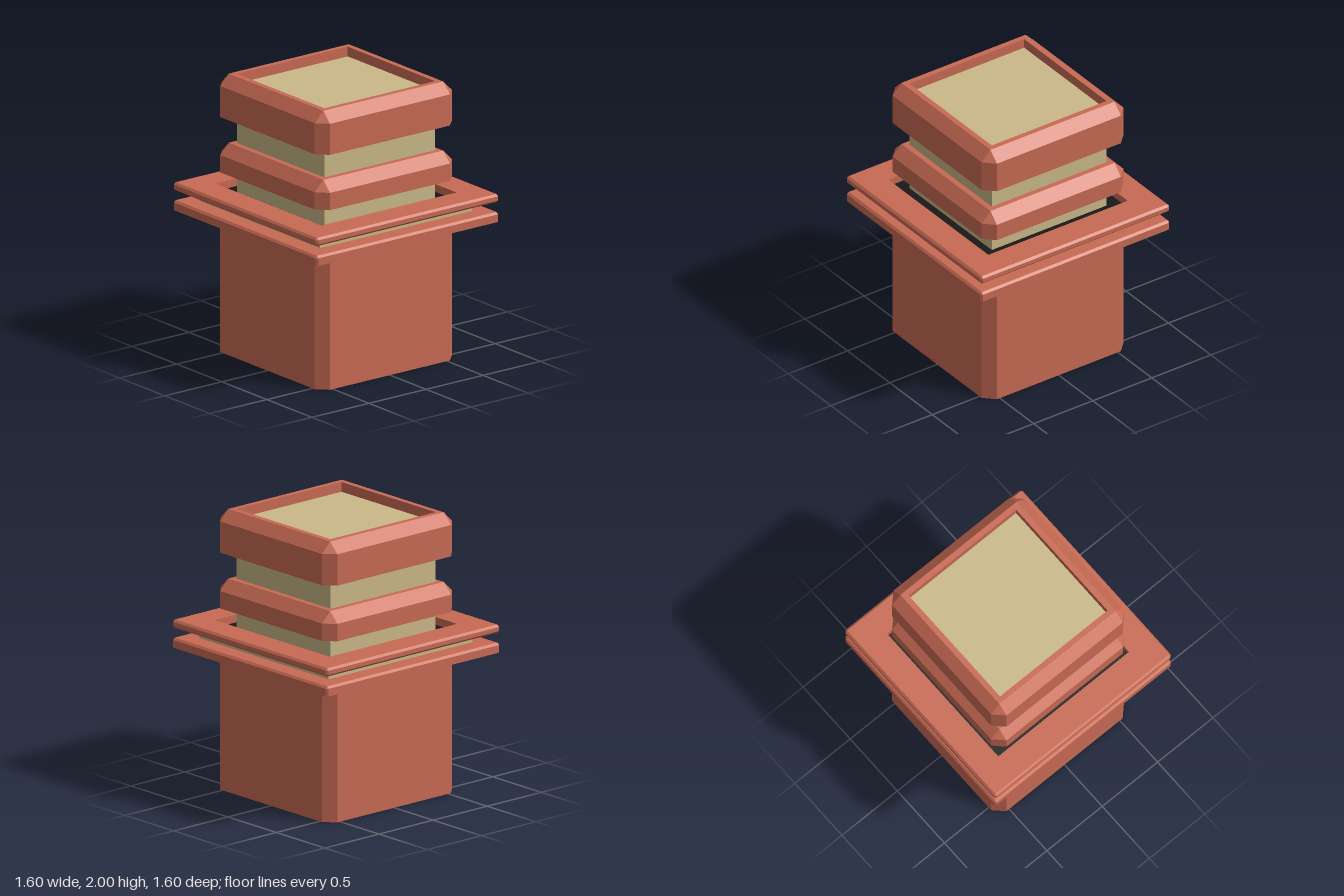
import * as THREE from 'three';

const brick = new THREE.MeshStandardMaterial({ color: 0xc86a53, flatShading: true });
const cream = new THREE.MeshStandardMaterial({ color: 0xcab888, flatShading: true });
const dark = new THREE.MeshStandardMaterial({ color: 0x181818, flatShading: true });

// Square loop with cut corners: half width h, corner cut c, height y
function loop([h, c, y]) {
  const k = h - c;
  return [[h, k], [h, -k], [k, -h], [-k, -h], [-h, -k], [-h, k], [-k, h], [k, h]]
    .map(([x, z]) => new THREE.Vector3(x, y, z));
}

// Skin a list of loops, running up the outside and down the inside
function loft(name, profile, material) {
  const loops = profile.map(loop);
  const pos = [];
  const tri = (a, b, c) => {
    const area = b.clone().sub(a).cross(c.clone().sub(a)).length();
    if (area > 1e-9) pos.push(...a.toArray(), ...b.toArray(), ...c.toArray());
  };
  for (let i = 0; i + 1 < loops.length; i++) {
    for (let j = 0; j < 8; j++) {
      const n = (j + 1) % 8;
      const [a, b, c, d] = [loops[i][j], loops[i][n], loops[i + 1][n], loops[i + 1][j]];
      tri(a, b, c);
      tri(a, c, d);
    }
  }
  const geo = new THREE.BufferGeometry();
  geo.setAttribute('position', new THREE.Float32BufferAttribute(pos, 3));
  geo.computeVertexNormals();
  const mesh = new THREE.Mesh(geo, material);
  mesh.name = name;
  return mesh;
}

// Plain square block between two heights
function block(name, half, y0, y1, material) {
  const mesh = new THREE.Mesh(new THREE.BoxGeometry(half * 2, y1 - y0, half * 2), material);
  mesh.position.y = (y0 + y1) / 2;
  mesh.name = name;
  return mesh;
}

// Collar with bevelled upper edge and a square opening
function collar(name, y0, y1) {
  const b = 0.075, inner = 0.485;
  return loft(name, [
    [inner, 0, y0], [0.6, b, y0], [0.6, b, y1 - b], [0.6 - b, 0, y1],
    [inner, 0, y1], [inner, 0, y0],
  ], brick);
}

export function createModel() {
  const group = new THREE.Group();
  const e = 0.015;

  // Base with cut vertical corners
  group.add(loft('base', [[0, 0, 0], [0.6, 0.075, 0], [0.6, 0.075, 1], [0, 0, 1]], brick));

  // Lower ledge, bevelled on top
  group.add(loft('lowerLedge', [
    [0, 0, 1], [0.8, e, 1], [0.8, e, 1.055], [0.8 - e, 0, 1.07], [0, 0, 1.07],
  ], brick));

  // Pale layer between the ledges
  group.add(block('ledgeSpacer', 0.665, 1.07, 1.14, cream));

  // Upper ledge, bevelled both ways, with a square opening
  group.add(loft('upperLedge', [
    [0.59, 0, 1.14], [0.8 - e, 0, 1.14], [0.8, e, 1.155], [0.8, e, 1.185],
    [0.8 - e, 0, 1.2], [0.59, 0, 1.2], [0.59, 0, 1.14],
  ], brick));

  // Dark floor inside the opening
  group.add(block('openingFloor', 0.59, 1.13, 1.145, dark));

  // Pale core with the two collars around it
  group.add(block('core', 0.485, 1.14, 1.93, cream));
  group.add(collar('middleCollar', 1.3, 1.5));
  group.add(collar('topCollar', 1.7, 2));

  return group;
}
